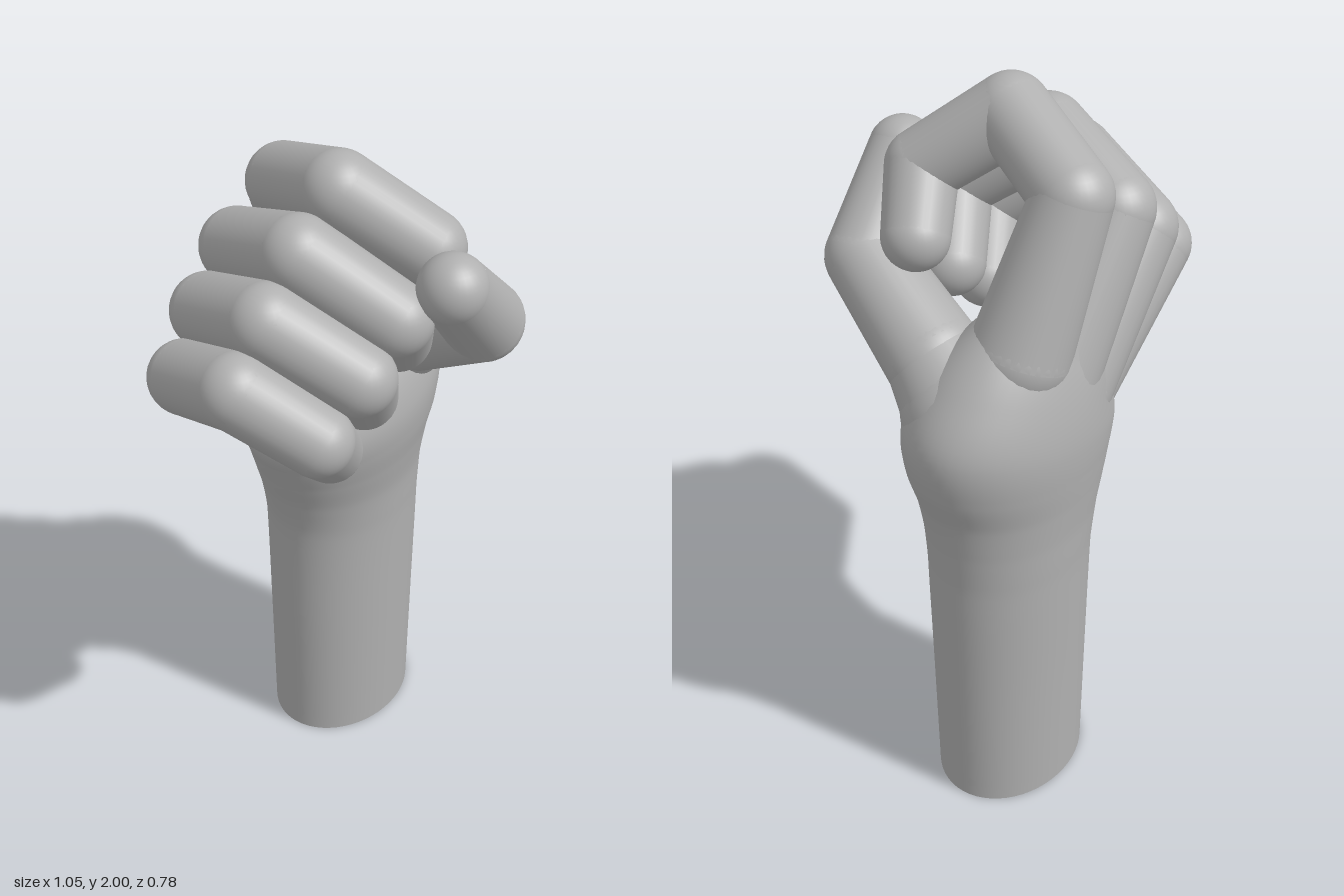
import * as THREE from 'three';
import { mergeGeometries } from 'three/addons/utils/BufferGeometryUtils.js';

const skin = new THREE.MeshStandardMaterial({ color: 0xb0b0b0 });
skin.name = 'plain grey';

function addPart(group, name, geometry) {
  const mesh = new THREE.Mesh(geometry, skin);
  mesh.name = name;
  group.add(mesh);
}

// Smooth skin through tilted elliptical sections: [x, y, z, rx, rz, tilt]
function loft(sections, steps = 90, sides = 56) {
  const centres = new THREE.CatmullRomCurve3(sections.map((s) => new THREE.Vector3(s[0], s[1], s[2])));
  const sizes = new THREE.CatmullRomCurve3(sections.map((s) => new THREE.Vector3(s[3], s[4], s[5])));
  const positions = [];
  const index = [];
  for (let i = 0; i <= steps; i++) {
    const c = centres.getPoint(i / steps);
    const { x: rx, y: rz, z: tilt } = sizes.getPoint(i / steps);
    for (let j = 0; j < sides; j++) {
      const angle = (j / sides) * Math.PI * 2;
      const across = rx * Math.cos(angle);
      positions.push(c.x + across * Math.cos(tilt), c.y + across * Math.sin(tilt), c.z + rz * Math.sin(angle));
      if (i === steps) continue;
      const a = i * sides + j;
      const b = i * sides + ((j + 1) % sides);
      index.push(a, a + sides, b, b, a + sides, b + sides);
    }
  }
  const geometry = new THREE.BufferGeometry();
  geometry.setAttribute('position', new THREE.Float32BufferAttribute(positions, 3));
  geometry.setIndex(index);
  geometry.computeVertexNormals();
  return geometry;
}

// Round joints linked by tapered bones: [x, y, z, radius]
function digit(joints) {
  const pieces = [];
  joints.forEach(([x, y, z, r], i) => {
    pieces.push(new THREE.SphereGeometry(r, 32, 20).translate(x, y, z));
    if (i === 0) return;
    const [px, py, pz, pr] = joints[i - 1];
    const from = new THREE.Vector3(px, py, pz);
    const along = new THREE.Vector3(x, y, z).sub(from);
    const bone = new THREE.CylinderGeometry(r, pr, along.length(), 32, 1, true);
    const turn = new THREE.Quaternion().setFromUnitVectors(new THREE.Vector3(0, 1, 0), along.clone().normalize());
    bone.applyQuaternion(turn);
    const middle = from.addScaledVector(along, 0.5);
    pieces.push(bone.translate(middle.x, middle.y, middle.z));
  });
  return mergeGeometries(pieces);
}

export function createModel() {
  const hand = new THREE.Group();
  hand.name = 'fistOnForearm';

  // Forearm, wrist and palm in one skin, leaning towards the knuckles
  addPart(hand, 'forearmAndPalm', loft([
    [0.197, 0, -0.175, 0.237, 0.187, 0],
    [0.197, 0.4, -0.172, 0.244, 0.193, 0],
    [0.197, 0.78, -0.17, 0.251, 0.2, 0],
    [0.19, 0.9, -0.168, 0.268, 0.206, 0.02],
    [0.183, 1.0, -0.163, 0.293, 0.218, 0.05],
    [0.185, 1.09, -0.158, 0.325, 0.23, 0.1],
    [0.18, 1.18, -0.158, 0.342, 0.233, 0.2],
    [0.15, 1.28, -0.168, 0.305, 0.212, 0.35],
    [0.09, 1.37, -0.195, 0.265, 0.16, 0.5],
    [0.05, 1.44, -0.215, 0.22, 0.115, 0.55],
    [0.03, 1.48, -0.22, 0.12, 0.06, 0.55],
    [0.025, 1.49, -0.22, 0.001, 0.001, 0.55],
  ]));

  // Flat base around a square socket
  const half = 0.095;
  const base = new THREE.Shape().absellipse(0.197, -0.175, 0.237, 0.187, 0, Math.PI * 2);
  base.holes.push(new THREE.Path([
    [-half, -half], [-half, half], [half, half], [half, -half],
  ].map(([x, z]) => new THREE.Vector2(0.197 + x, -0.175 + z))));
  addPart(hand, 'forearmBase', new THREE.ShapeGeometry(base, 56).rotateX(Math.PI / 2));

  // Socket walls: a box without its lower face, turned inside out
  const depth = 0.6;
  const box = new THREE.BoxGeometry(half * 2, depth, half * 2).translate(0.197, depth / 2, -0.175);
  const corners = Array.from(box.index.array);
  corners.splice(18, 6);
  box.setIndex(corners.reverse());
  box.clearGroups();
  const socket = box.toNonIndexed();
  socket.computeVertexNormals();
  addPart(hand, 'mountingSocket', socket);

  // Curled fingers: root, knuckle, middle joint, end joint, tip
  const fingers = {
    indexFinger: [[0.23, 1.42, -0.22, 0.13], [0.08, 1.8, -0.265, 0.1], [-0.03, 1.9, -0.01, 0.1],
      [0.09, 1.75, 0.175, 0.095], [0.2, 1.62, 0.115, 0.088]],
    middleFinger: [[0.13, 1.32, -0.24, 0.13], [-0.1, 1.69, -0.275, 0.1], [-0.18, 1.79, -0.02, 0.1],
      [-0.07, 1.63, 0.19, 0.096], [0.06, 1.48, 0.11, 0.088]],
    ringFinger: [[0.06, 1.25, -0.24, 0.13], [-0.235, 1.57, -0.265, 0.1], [-0.31, 1.665, -0.02, 0.1],
      [-0.2, 1.52, 0.175, 0.096], [-0.08, 1.375, 0.105, 0.087]],
    littleFinger: [[0.01, 1.17, -0.2, 0.13], [-0.365, 1.45, -0.24, 0.097], [-0.432, 1.535, -0.02, 0.098],
      [-0.33, 1.4, 0.148, 0.092], [-0.22, 1.285, 0.1, 0.084]],
  };
  for (const [name, joints] of Object.entries(fingers)) addPart(hand, name, digit(joints));

  // Thumb crossing in front of the index finger
  addPart(hand, 'thumb', digit([
    [0.31, 1.26, -0.12, 0.17], [0.29, 1.36, 0, 0.128], [0.21, 1.515, 0.268, 0.108], [0.005, 1.72, 0.303, 0.09],
  ]));

  return hand;
}
